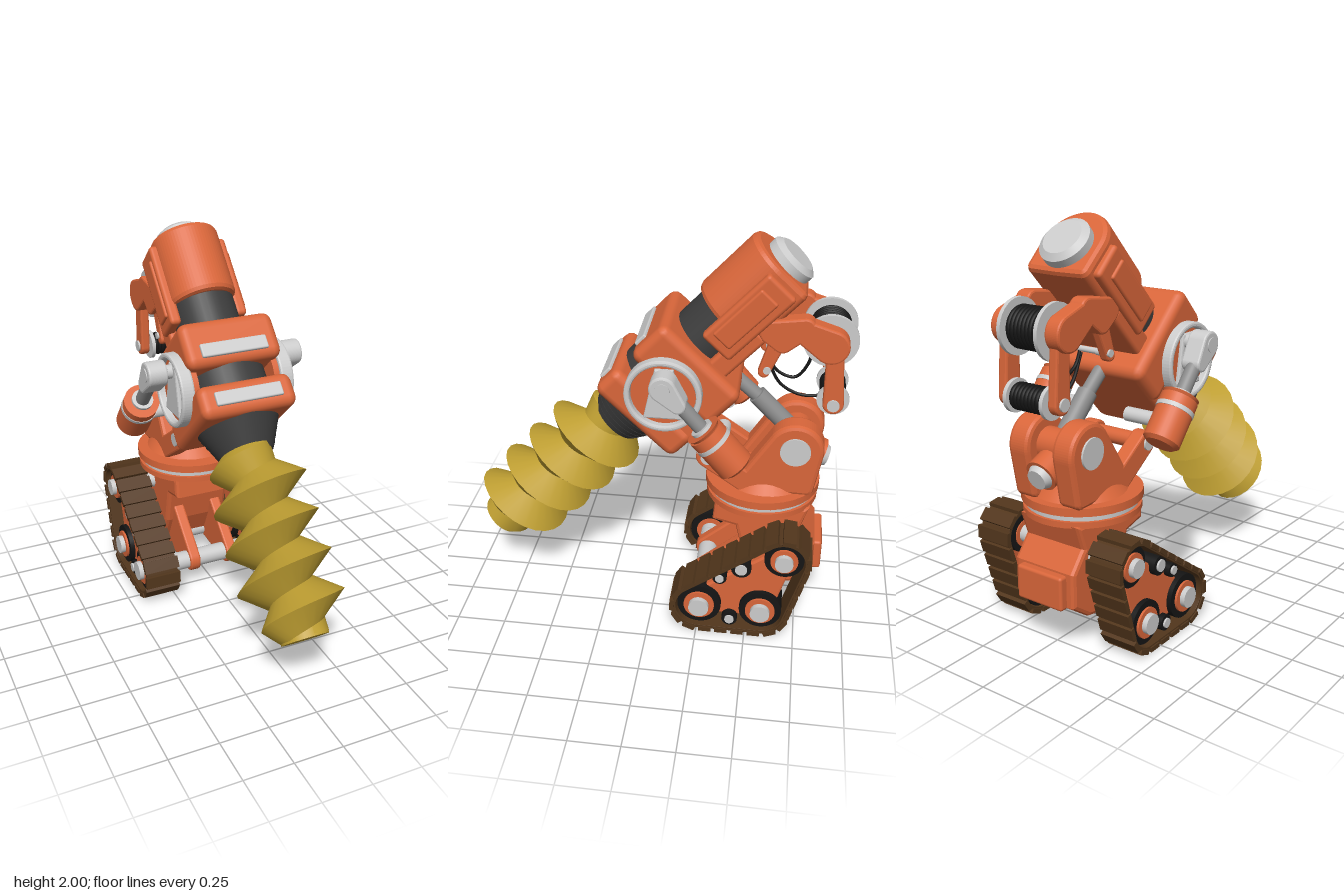
import * as THREE from 'three';
import { RoundedBoxGeometry } from 'three/addons/geometries/RoundedBoxGeometry.js';

const mat = (color) => new THREE.MeshStandardMaterial({ color });
const orange = mat(0xd9663a), grey = mat(0xcccccc), steel = mat(0x8c8c8c), dark = mat(0x3c3c3c);
const black = mat(0x151515), brown = mat(0x52361c), yellow = mat(0xbf9f32);
yellow.side = THREE.DoubleSide;
const V = (p) => new THREE.Vector3(...p);

function add(parent, name, geometry, material) {
  const m = new THREE.Mesh(geometry, material);
  m.name = name;
  parent.add(m);
  return m;
}
function box(parent, name, material, size, pos, radius = 0.015) {
  const m = add(parent, name, new RoundedBoxGeometry(...size, 2, radius), material);
  m.position.set(...pos);
  return m;
}
// Cylinder between two points
function rod(parent, name, material, a, b, r0, r1 = r0) {
  const d = V(b).sub(V(a));
  const m = add(parent, name, new THREE.CylinderGeometry(r1, r0, d.length(), 32), material);
  m.position.copy(V(a)).addScaledVector(d, 0.5);
  m.quaternion.setFromUnitVectors(new THREE.Vector3(0, 1, 0), d.normalize());
  return m;
}
// Cylinder running along x
const pin = (g, name, material, x0, x1, [z, y], r) => rod(g, name, material, [x0, y, z], [x1, y, z], r);

// Outline wrapped around circles given as [a, b, radius]
function wrap(circles, n = 72) {
  const pts = [];
  for (let i = 0; i < n; i++) {
    const t = (i / n) * Math.PI * 2, c = Math.cos(t), s = Math.sin(t);
    const k = circles.reduce((p, q) => (q[0] * c + q[1] * s + q[2] > p[0] * c + p[1] * s + p[2] ? q : p));
    pts.push(new THREE.Vector2(k[0] + k[2] * c, k[1] + k[2] * s));
  }
  return pts;
}
const extrude = (shape, depth, bevel) => new THREE.ExtrudeGeometry(shape, {
  depth: depth - 2 * bevel, bevelThickness: bevel, bevelSize: bevel, bevelOffset: -bevel, bevelSegments: 2,
}).translate(0, 0, bevel);
// Plate with an outline in (z, y), centred at x
function plate(parent, name, material, pts, x, width, hole, bevel = 0.01) {
  const shape = new THREE.Shape(pts);
  if (hole) shape.holes.push(new THREE.Path(hole));
  const g = extrude(shape, width, bevel).rotateY(-Math.PI / 2).translate(x + width / 2, 0, 0);
  return add(parent, name, g, material);
}
const poly = (...p) => p.map(([a, b]) => new THREE.Vector2(a, b));

// Screw thread: a V-shaped ridge swept along a helix, fading at both ends
function screwGeometry(top, end, core, outer, pitch) {
  const pos = [], idx = [], seg = 24, turns = 6;
  for (let i = 0; i <= seg * turns; i++) {
    const t = (i / seg) * Math.PI * 2, crest = -0.594 + pitch * (i / seg - 4);
    const fade = THREE.MathUtils.clamp(Math.min((crest - end) / 0.14, (top - crest) / 0.12), 0, 1);
    const rows = [[-0.5, core], [0, core + (outer - core) * fade], [0, core + (outer - core) * fade], [0.5, core]];
    for (const [o, r] of rows) {
      const y = THREE.MathUtils.clamp(crest + o * pitch, end, top);
      pos.push(r * Math.sin(t), y, r * Math.cos(t));
    }
    if (i < seg * turns) for (const k of [0, 2]) {
      const a = i * 4 + k, b = a + 4;
      idx.push(a, b, a + 1, b, b + 1, a + 1);
    }
  }
  const g = new THREE.BufferGeometry();
  g.setAttribute('position', new THREE.Float32BufferAttribute(pos, 3));
  g.setIndex(idx);
  g.computeVertexNormals();
  return g;
}

function buildTrack(model, s) {
  const g = new THREE.Group();
  g.name = s > 0 ? 'leftTrack' : 'rightTrack';
  model.add(g);
  const wheels = [[-0.262, 0.154, 0.112], [-0.575, 0.148, 0.108], [-0.68, 0.472, 0.098]];
  const grow = (d) => wheels.map(([z, y, r]) => [z, y, r + d]);
  plate(g, 'trackBelt', brown, wrap(grow(0.024)), s * 0.337, 0.18, wrap(grow(0.006)), 0.001);
  // Tread plates spaced evenly along the belt
  const outline = wrap(grow(0.026)).map((p) => new THREE.Vector3(0, p.y, p.x));
  const path = new THREE.CurvePath();
  outline.forEach((p, i) => path.add(new THREE.LineCurve3(p, outline[(i + 1) % outline.length])));
  for (let i = 0; i < 24; i++) {
    const p = path.getPointAt(i / 24), t = path.getTangentAt(i / 24);
    const tread = add(g, 'treadPlate', new THREE.BoxGeometry(0.195, 0.024, 0.064), brown);
    tread.position.set(s * 0.337, p.y, p.z);
    tread.rotation.x = -Math.atan2(t.y, t.z);
  }
  plate(g, 'trackFrame', orange, wrap(grow(-0.045)), s * 0.325, 0.1);
  for (const [z, y, r] of wheels) {
    pin(g, 'wheelTire', black, s * 0.25, s * 0.4, [z, y], r);
    pin(g, 'wheelRim', orange, s * 0.245, s * 0.412, [z, y], r * 0.7);
    pin(g, 'wheelHub', grey, s * 0.2, s * 0.438, [z, y], r * 0.46);
  }
  for (const [z, y, r] of [[-0.47, 0.4, 0.05], [-0.363, 0.334, 0.036], [-0.42, 0.078, 0.04]]) {
    pin(g, 'roller', black, s * 0.25, s * 0.405, [z, y], r);
    pin(g, 'rollerHub', grey, s * 0.25, s * 0.415, [z, y], r * 0.6);
  }
}

function buildBase(model) {
  // Chassis between the tracks
  plate(model, 'chassis', orange, poly([-0.31, 0.64], [-0.79, 0.64], [-0.75, 0.52], [-0.83, 0.42], [-0.83, 0.25],
    [-0.72, 0.17], [-0.55, 0.14], [-0.47, 0.3], [-0.42, 0.5], [-0.3, 0.53]).reverse(), 0, 0.36, null, 0.02);
  box(model, 'rearPanel', orange, [0.27, 0.17, 0.06], [0, 0.325, -0.84]);
  pin(model, 'frontAxle', grey, -0.25, 0.25, [-0.262, 0.154], 0.05);
  pin(model, 'rearAxle', grey, -0.25, 0.25, [-0.575, 0.148], 0.045);
  pin(model, 'topAxle', grey, -0.25, 0.25, [-0.68, 0.472], 0.045);
  // Turntable
  for (const [y0, y1, r, m] of [[0.63, 0.66, 0.285, orange], [0.66, 0.69, 0.27, grey], [0.69, 0.73, 0.292, orange]])
    rod(model, 'turntable', m, [0, y0, -0.54], [0, y1, -0.54], r);
  rod(model, 'turretFoot', orange, [0, 0.73, -0.56], [0, 0.8, -0.56], 0.23, 0.17);
  for (const s of [1, -1]) {
    plate(model, 'axleArm', orange, wrap([[-0.262, 0.154, 0.065], [-0.6, 0.4, 0.1], [-0.55, 0.15, 0.05]]), s * 0.11, 0.06);
    plate(model, 'shoulderPlate', orange, wrap([[-0.697, 0.975, 0.14], [-0.76, 0.76, 0.04], [-0.43, 0.76, 0.03]]), s * 0.13, 0.12, null, 0.02);
    plate(model, 'frontLug', orange, wrap([[-0.27, 0.906, 0.06], [-0.5, 0.75, 0.06]]), s * 0.15, 0.08);
    pin(model, 'shoulderPin', grey, s * 0.05, s * 0.2, [-0.697, 0.975], 0.075);
    pin(model, 'lugPin', grey, s * 0.1, s * 0.2, [-0.27, 0.906], 0.035);
  }
  pin(model, 'lugAxle', orange, -0.15, 0.15, [-0.27, 0.906], 0.04);
  rod(model, 'rearMotor', orange, [0, 0.92, -0.7], [0, 0.865, -0.83], 0.08);
  rod(model, 'rearMotorCap', grey, [0, 0.865, -0.83], [0, 0.855, -0.86], 0.065, 0.05);
}

function buildDrill(model) {
  // Tilted body: local y runs up the drill axis
  const g = new THREE.Group();
  g.name = 'drillBody';
  g.position.set(0, 1.288, -0.056);
  g.rotation.x = THREE.MathUtils.degToRad(-43);
  model.add(g);
  add(g, 'drillScrew', screwGeometry(-0.37, -1.32, 0.12, 0.25, 0.198), yellow).position.z = 0.02;
  rod(g, 'drillCore', yellow, [0, -1.33, 0.02], [0, -0.35, 0.02], 0.117);
  for (let i = 0; i < 5; i++) {
    const y = -0.24 - i * 0.032, r = 0.215 - i * 0.015;
    rod(g, 'gaiterRing', dark, [0, y - 0.032, 0], [0, y, 0], r - 0.018, r);
  }
  // Head: two jaws around the barrel
  rod(g, 'barrel', dark, [0, -0.2, 0.01], [0, 0.5, 0.01], 0.165);
  rod(g, 'barrelCollar', dark, [0, -0.12, 0.01], [0, 0.06, 0.01], 0.205);
  box(g, 'lowerJaw', orange, [0.5, 0.17, 0.52], [0, -0.165, -0.02], 0.045);
  box(g, 'upperJaw', orange, [0.5, 0.24, 0.52], [0, 0.13, -0.02], 0.045);
  box(g, 'headBlock', orange, [0.47, 0.45, 0.31], [0, -0.005, -0.125], 0.03);
  box(g, 'lowerStrip', grey, [0.35, 0.07, 0.03], [0, -0.165, 0.24], 0.008);
  box(g, 'upperStrip', grey, [0.35, 0.07, 0.03], [0, 0.085, 0.24], 0.008);
  // Motor housing, rounded at the front
  const shape = new THREE.Shape(wrap([[0, -0.03, 0.178], [0.14, 0.11, 0.035], [-0.14, 0.11, 0.035]]));
  add(g, 'motorHousing', extrude(shape, 0.38, 0.025).rotateX(-Math.PI / 2).translate(0, 0.42, 0), orange);
  rod(g, 'housingCap', grey, [0, 0.79, 0], [0, 0.84, 0], 0.125);
  rod(g, 'housingCapTop', grey, [0, 0.84, 0], [0, 0.862, 0], 0.125, 0.095);
  box(g, 'spine', orange, [0.38, 0.34, 0.11], [0, 0.35, -0.11], 0.02);
  for (const s of [1, -1]) {
    box(g, 'sideSlab', orange, [0.06, 0.44, 0.18], [s * 0.18, 0.54, -0.02], 0.02);
    box(g, 'sidePanel', orange, [0.03, 0.32, 0.11], [s * 0.207, 0.53, -0.01], 0.012);
  }
}

function buildSide(model, s) {
  // Dial on the head
  const dial = [-0.056, 1.288];
  plate(model, 'dialRing', grey, wrap([[...dial, 0.187]]), s * 0.265, 0.07, wrap([[...dial, 0.158]]));
  pin(model, 'dialFace', orange, s * 0.2, s * 0.262, dial, 0.17);
  plate(model, 'dialKey', grey, poly([0.04, 1.16], [-0.15, 1.16], [-0.105, 1.42], [-0.015, 1.42]).reverse(), s * 0.262, 0.04);
  // Crank and side piston
  const at = (t) => [s * 0.37, 1.383 - 0.41 * t, -0.07 - 0.36 * t];
  pin(model, 'crankPin', grey, s * 0.25, s * 0.42, [-0.07, 1.383], 0.035);
  plate(model, 'crankHead', grey, wrap([[-0.07, 1.383, 0.065], [-0.14, 1.303, 0.04]]), s * 0.365, 0.1);
  rod(model, 'pistonRod', steel, at(0), at(0.6), 0.036);
  rod(model, 'pistonCollar', grey, at(0.49), at(0.53), 0.055);
  rod(model, 'pistonShoulder', orange, at(0.52), at(0.57), 0.07, 0.09).scale.y = -1;
  rod(model, 'pistonCylinder', orange, at(0.55), at(0.96), 0.09);
  rod(model, 'pistonBand', grey, at(0.64), at(0.68), 0.093);
  rod(model, 'pistonEnd', orange, at(0.96), at(0.99), 0.09, 0.07);
  pin(model, 'pistonMount', grey, s * 0.12, s * 0.32, [-0.34, 1.06], 0.035);
  // Spool brackets
  plate(model, 'spoolBracket', orange, wrap([[-0.55, 1.6, 0.06], [-0.7, 1.63, 0.05], [-0.6, 1.55, 0.05]]), s * 0.155, 0.08);
  plate(model, 'spoolArm', orange, wrap([[-0.68, 1.62, 0.055], [-0.824, 1.542, 0.085]]), s * 0.155, 0.08);
  plate(model, 'cableStrut', orange, wrap([[-0.585, 1.56, 0.04], [-0.52, 1.385, 0.028]]), s * 0.145, 0.05);
  plate(model, 'lowerSpoolArm', orange, wrap([[-0.845, 1.5, 0.04], [-0.856, 1.235, 0.05]]), s * 0.145, 0.05);
  pin(model, 'cableGuide', grey, s * 0.1, s * 0.18, [-0.535, 1.4], 0.018);
  pin(model, 'lowerSpoolHub', grey, s * 0.1, s * 0.18, [-0.856, 1.235], 0.03);
}

function buildSpools(model) {
  for (const [z, y, r] of [[-0.824, 1.542, 0.13], [-0.856, 1.235, 0.078]]) {
    for (const s of [1, -1]) pin(model, 'spoolFlange', grey, s * 0.095, s * 0.115, [z, y], r);
    pin(model, 'spoolDrum', black, -0.1, 0.1, [z, y], r * 0.68);
    for (let i = -4; i <= 4; i++) {
      const coil = add(model, 'spoolCoil', new THREE.TorusGeometry(r * 0.68, 0.011, 8, 32).rotateY(Math.PI / 2), black);
      coil.position.set(i * 0.021, y, z);
    }
  }
  // Slack cables
  for (const path of [[[-0.53, 1.41], [-0.58, 1.32], [-0.67, 1.29], [-0.73, 1.37], [-0.745, 1.48]],
    [[-0.53, 1.38], [-0.6, 1.25], [-0.7, 1.195], [-0.8, 1.2], [-0.85, 1.23]]]) {
    const curve = new THREE.CatmullRomCurve3(path.map(([z, y]) => new THREE.Vector3(0, y, z)));
    add(model, 'cable', new THREE.TubeGeometry(curve, 32, 0.008, 8), black);
  }
  pin(model, 'cableBar', grey, -0.15, 0.15, [-0.535, 1.4], 0.014);
  // Lift piston between head and shoulder
  rod(model, 'liftRod', steel, [0, 1.36, -0.28], [0, 1.1, -0.58], 0.035);
  rod(model, 'liftSleeve', steel, [0, 1.18, -0.49], [0, 0.975, -0.697], 0.048);
  pin(model, 'liftPin', orange, -0.1, 0.1, [-0.697, 0.975], 0.08);
}

export function createModel() {
  const model = new THREE.Group();
  model.name = 'drillRobot';
  buildBase(model);
  buildDrill(model);
  buildSpools(model);
  for (const s of [1, -1]) {
    buildTrack(model, s);
    buildSide(model, s);
  }
  return model;
}
